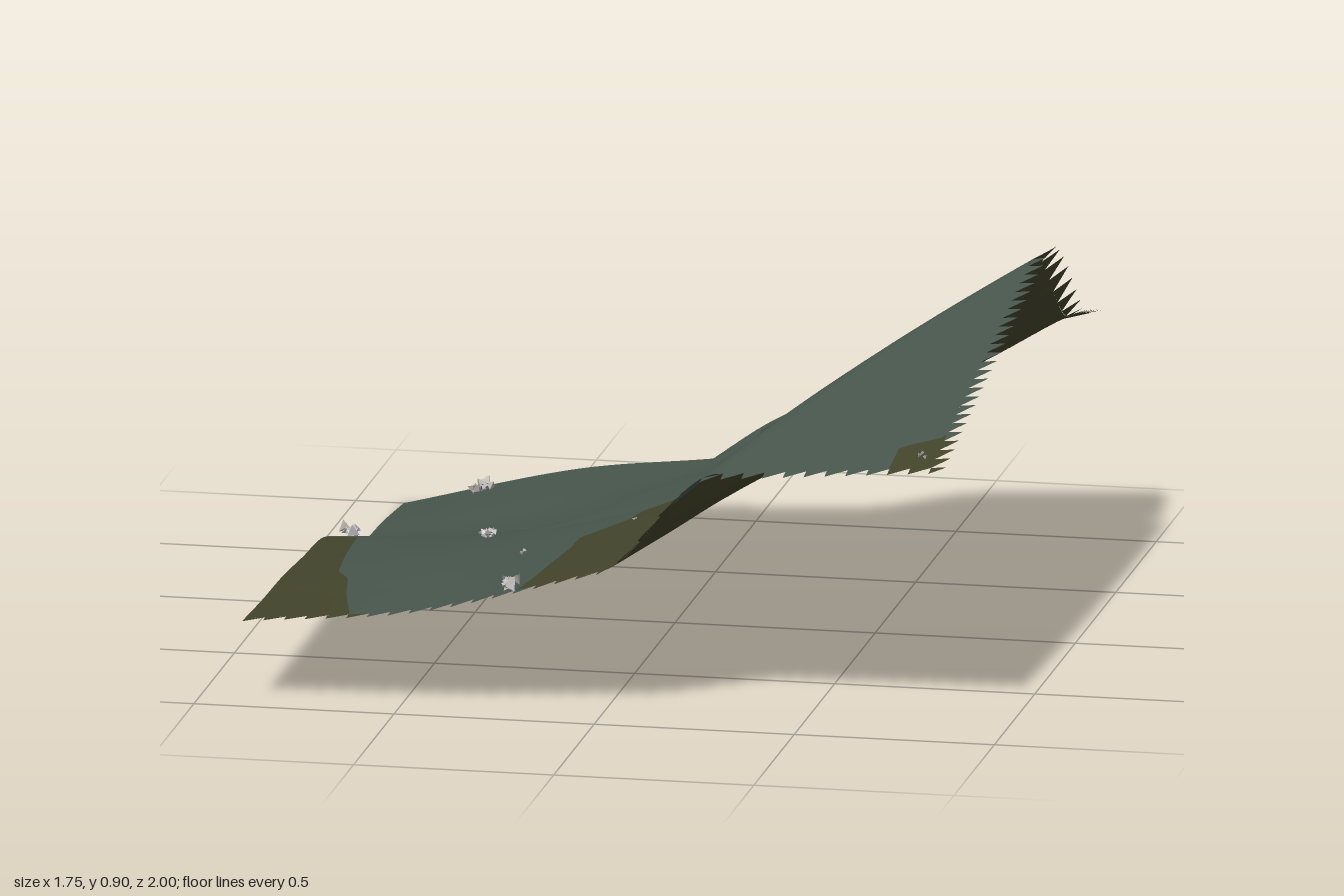
import * as THREE from 'three';
import { mergeGeometries } from 'three/addons/utils/BufferGeometryUtils.js';

const X0 = -0.88, X1 = 0.835, Z0 = -1, Z1 = 0.965;
const TOOTH = 0.038;

// Hillside heights without the steps: one row per x from -0.88 to 0.87, z running from -1 to 1
const HILL = [
  [0, 0.02, 0.035, 0.105, 0.17, 0.185, 0.2, 0.205, 0.215],
  [0.11, 0.11, 0.11, 0.135, 0.205, 0.25, 0.265, 0.265, 0.26],
  [0.17, 0.19, 0.24, 0.26, 0.31, 0.355, 0.37, 0.375, 0.375],
  [0.29, 0.345, 0.395, 0.43, 0.475, 0.51, 0.52, 0.5, 0.48],
  [0.41, 0.505, 0.535, 0.55, 0.605, 0.65, 0.66, 0.63, 0.6],
];

// Edges of the dry grass areas as [z, x]
const LEFT_EDGE = [[-1, -0.88], [-0.01, -0.88], [0.01, -0.79], [0.25, -0.77], [0.5, -0.74], [0.58, -0.7], [0.75, -0.67], [1, -0.61]];
const BAND_START = [[-1, 0.47], [-0.87, 0.37], [-0.77, 0.32], [-0.58, 0.24], [-0.5, 0.22], [-0.42, 0.13], [-0.34, 0.14],
  [-0.31, 0.27], [-0.21, 0.27], [-0.05, 0.22], [0.1, 0.11], [0.19, 0.08], [0.26, -0.02], [0.37, -0.04], [0.48, -0.14],
  [0.6, -0.14], [0.74, -0.16], [0.88, -0.18], [1, -0.21]];
const BAND_END = [[-1, 0.9], [-0.35, 0.88], [-0.32, 0.84], [-0.13, 0.69], [0.03, 0.66], [0.13, 0.55], [0.4, 0.43], [0.63, 0.32], [0.82, 0.24], [1, 0.16]];
const CORNER = [[-1, 0.9], [0.77, 0.86], [0.84, 0.73], [1, 0.73]];

const clamp = THREE.MathUtils.clamp;
const smooth = (t) => THREE.MathUtils.smoothstep(t, 0, 1);

function follow(points, z) {
  let i = 1;
  while (i < points.length - 1 && points[i][0] < z) i++;
  const [za, xa] = points[i - 1], [zb, xb] = points[i];
  return xa + (xb - xa) * clamp((z - za) / (zb - za), 0, 1);
}

// Catmull-Rom through evenly spaced values, u from 0 to 1
function spline(v, u) {
  const n = v.length - 1, s = clamp(u, 0, 1) * n, i = Math.min(Math.floor(s), n - 1), t = s - i;
  const b = v[i], c = v[i + 1];
  const a = i > 0 ? v[i - 1] : 2 * b - c;
  const d = i + 2 <= n ? v[i + 2] : 2 * c - b;
  return b + 0.5 * t * (c - a + t * (2 * a - 5 * b + 4 * c - d + t * (3 * (b - c) + d - a)));
}

// Ground height: hillside, a fading diagonal step and a bluff up to the plateau
function heightAt(x, z) {
  let low = spline(HILL.map((row) => spline(row, (z + 1) / 2)), (x + 0.88) / 1.75);
  low += 0.17 * clamp((0.25 - z) / 1.25, 0, 1) * smooth((x - 0.21 + 0.5 * (z + 1)) / 0.2);
  const high = 0.68 + 0.18 * (1 - z) - 0.008 * (1 - z) ** 2 + 0.08 * (x - 0.87);
  const rim = 0.71 - 0.5 * z + 0.08 * z * z;
  return low + (high - low) * smooth((x - rim + 0.29) / 0.29);
}

function normalAt(x, z) {
  const e = 0.008;
  return new THREE.Vector3(heightAt(x - e, z) - heightAt(x + e, z), 2 * e, heightAt(x, z - e) - heightAt(x, z + e)).normalize();
}

function breaksAt(z) {
  return [X0, ...[LEFT_EDGE, BAND_START, BAND_END, CORNER].map((p) => clamp(follow(p, z), X0, X1)), X1];
}

// Sheet over the ground from a list of [x, z] points and triangle indices
function sheet(points, index) {
  const g = new THREE.BufferGeometry();
  g.setAttribute('position', new THREE.Float32BufferAttribute(points.flatMap(([x, z]) => [x, heightAt(x, z), z]), 3));
  g.setAttribute('normal', new THREE.Float32BufferAttribute(points.flatMap(([x, z]) => normalAt(x, z).toArray()), 3));
  g.setIndex(index);
  return g;
}

// One strip of ground between two neighbouring breaks
function groundStrip(k, columns) {
  const rows = 100, points = [], index = [];
  for (let j = 0; j <= rows; j++) {
    const z = Z0 + (Z1 - Z0) * j / rows, b = breaksAt(z);
    for (let i = 0; i <= columns; i++) points.push([b[k] + (b[k + 1] - b[k]) * i / columns, z]);
  }
  const w = columns + 1;
  for (let j = 0; j < rows; j++) {
    for (let i = 0; i < columns; i++) {
      const a = j * w + i;
      index.push(a, a + w, a + 1, a + 1, a + w, a + w + 1);
    }
  }
  return sheet(points, index);
}

export function createModel() {
  const model = new THREE.Group();
  const material = (name, color, side = THREE.FrontSide) => {
    const m = new THREE.MeshStandardMaterial({ color, side });
    m.name = name;
    return m;
  };
  const grass = material('greyGreenGrass', 0x47564d, THREE.DoubleSide);
  const dry = material('dryOliveGrass', 0x43442b, THREE.DoubleSide);
  const paleStone = material('paleStone', 0xbdb9b4);
  const darkStone = material('darkStone', 0x85808a);
  paleStone.flatShading = darkStone.flatShading = true;

  const add = (name, geometry, mat) => {
    const mesh = new THREE.Mesh(geometry, mat);
    mesh.name = name;
    model.add(mesh);
  };

  // Ground in alternating bands
  const names = ['leftDryGrass', 'lowerSlope', 'bluffDryGrass', 'plateau', 'cornerDryGrass'];
  names.forEach((name, k) => add(name, groundStrip(k, [8, 40, 28, 28, 8][k]), k % 2 ? grass : dry));

  // Saw-toothed right and front edges
  const teeth = { green: [], olive: [] };
  const addTooth = (x, z, dx, dz) => {
    const b = breaksAt(Math.min(z, Z1));
    let k = 0;
    while (k < 4 && x + 0.001 > b[k + 1]) k++;
    if (x >= X1) k = z > 0.77 ? 4 : z > -0.32 ? 3 : 2;
    teeth[k % 2 ? 'green' : 'olive'].push(sheet([[x, z], [x, z + dz], [x + dx, z]], [0, 1, 2]));
  };
  const right = 37, front = 33;
  for (let i = 0; i < right; i++) {
    const d = (Z1 + 0.96) / right;
    addTooth(X1, -0.96 + i * d, TOOTH, d);
  }
  for (let i = 0; i <= front; i++) {
    const d = (X1 - X0) / front;
    addTooth(X0 + i * d, Z1, i < front ? d : TOOTH, 1 - Z1);
  }
  add('greenEdgeTeeth', mergeGeometries(teeth.green), grass);
  add('oliveEdgeTeeth', mergeGeometries(teeth.olive), dry);

  // Scattered clusters of stone shards: x, z, width
  const ROCKS = [[-0.67, -0.93, 0.065], [0.33, -0.83, 0.065], [-0.02, -0.71, 0.055], [-0.83, -0.1, 0.065], [-0.22, 0.95, 0.075],
    [0.46, -0.36, 0.045], [0.39, -0.17, 0.045], [-0.5, -0.16, 0.045], [-0.42, 0.22, 0.048], [-0.27, 0.56, 0.026],
    [0.8, 0.9, 0.03], [-0.46, -0.28, 0.02], [0.74, -0.81, 0.01], [0.28, 0.09, 0.018], [-0.02, 0.39, 0.018], [0.47, -0.9, 0.018]];
  let seed = 7;
  const random = () => (seed = (seed * 16807) % 2147483647) / 2147483647;
  const shards = [[], []];
  for (const [x, z, size] of ROCKS) {
    const count = size > 0.03 ? 10 : 4;
    for (let i = 0; i < count; i++) {
      const angle = i * 2.4 + random(), reach = size * 0.38 * random();
      const px = x + Math.cos(angle) * reach, pz = z + Math.sin(angle) * reach;
      const g = new THREE.TetrahedronGeometry(size * (0.18 + 0.12 * random()));
      g.rotateX(random() * 6).rotateZ(random() * 6).rotateY(random() * 6);
      g.translate(px, heightAt(px, pz) + size * (0.1 + 0.25 * random()), pz);
      shards[i % 4 === 3 ? 1 : 0].push(g);
    }
  }
  add('paleRocks', mergeGeometries(shards[0]), paleStone);
  add('darkRocks', mergeGeometries(shards[1]), darkStone);
  return model;
}
